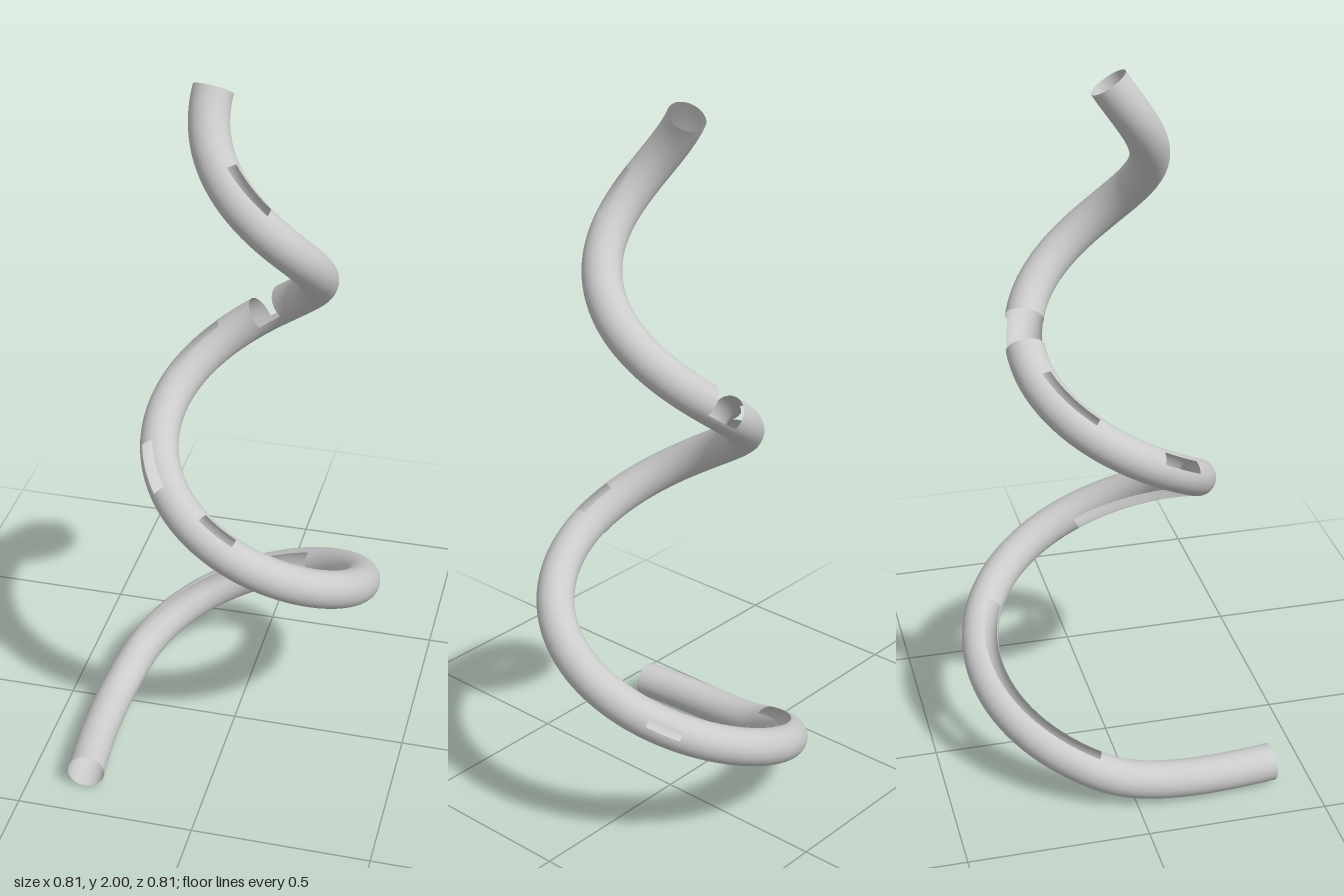
import * as THREE from 'three';

const RADIUS = 0.052, SIDES = 60, TWIST = 0.4;
const S_START = -48, S_JOIN = 12, S_END = 720; // turn angle in degrees
const rad = THREE.MathUtils.degToRad;

// Slots in the wall: [turn from, turn to, angle from, angle to]
// angle round the tube: 0 outward, 90 up, 180 inward, 270 down
const SLOTS = [
  [-20, -8, 255, 290],   // under the straight foot
  [16, 113, 92, 147],    // long slot, lower coil
  [24, 32, 250, 290],
  [64, 82, 255, 285],
  [131, 145, 5, 40],
  [178, 272, 190, 258],  // long slot on the inner side
  [270, 290, 68, 106],
  [313, 339, 25, 67],
  [380, 420, 68, 98],
  [444, 465, -30, 200],  // wide notch
  [613, 655, 68, 102],
];

// Rising spiral that narrows toward the top
function spiral(s) {
  const a = rad(s), r = 0.381 - 0.1415 * s / 360;
  return new THREE.Vector3(0.0425 - r * Math.cos(a), 0.063 + 0.955 * s / 360, -0.007 - r * Math.sin(a));
}

// Straight foot leading smoothly into the spiral
const join = spiral(S_JOIN);
const joinDir = spiral(S_JOIN + 0.5).sub(join).normalize();
const foot = new THREE.CubicBezierCurve3(
  new THREE.Vector3(-0.334, 0.055, 0.394),
  new THREE.Vector3(-0.36, 0.055, 0.195),
  join.clone().addScaledVector(joinDir, -0.12),
  join
);

function centre(s) {
  return s < S_JOIN ? foot.getPoint((s - S_START) / (S_JOIN - S_START)) : spiral(s);
}

function tangent(s) {
  const a = Math.max(s - 0.5, S_START), b = Math.min(s + 0.5, S_END);
  return centre(b).sub(centre(a)).normalize();
}

function isCut(s, phi) {
  return SLOTS.some(([s0, s1, p0, p1]) => {
    if (s < s0 || s > s1) return false;
    const p = phi - TWIST * (s - (s0 + s1) / 2) - p0;
    return THREE.MathUtils.euclideanModulo(p, 360) < p1 - p0;
  });
}

function tubeGeometry() {
  const pos = [], nor = [], idx = [];
  const up = new THREE.Vector3(0, 1, 0);
  const step = 360 / SIDES, row = SIDES + 1;
  for (let s = S_START; s <= S_END; s++) {
    const c = centre(s), t = tangent(s);
    const out = new THREE.Vector3().crossVectors(up, t).normalize();
    const v = new THREE.Vector3().crossVectors(t, out);
    for (let j = 0; j <= SIDES; j++) {
      const a = rad(j * step + TWIST * s);
      const n = out.clone().multiplyScalar(Math.cos(a)).addScaledVector(v, Math.sin(a));
      nor.push(n.x, n.y, n.z);
      n.multiplyScalar(RADIUS).add(c);
      pos.push(n.x, n.y, n.z);
    }
  }
  // Skin the wall, leaving the slots open
  for (let i = 0; i < S_END - S_START; i++) {
    for (let j = 0; j < SIDES; j++) {
      const s = S_START + i + 0.5;
      if (isCut(s, (j + 0.5) * step + TWIST * s)) continue;
      const a = i * row + j, b = a + 1, c = a + row, d = c + 1;
      idx.push(a, b, c, b, d, c);
    }
  }
  const g = new THREE.BufferGeometry();
  g.setAttribute('position', new THREE.Float32BufferAttribute(pos, 3));
  g.setAttribute('normal', new THREE.Float32BufferAttribute(nor, 3));
  g.setIndex(idx);
  return g;
}

export function createModel() {
  const group = new THREE.Group();
  group.name = 'spiralSlide';
  const tube = new THREE.Mesh(
    tubeGeometry(),
    new THREE.MeshStandardMaterial({ color: 0xcccccc, side: THREE.DoubleSide })
  );
  tube.name = 'slottedTube';
  group.add(tube);
  return group;
}
